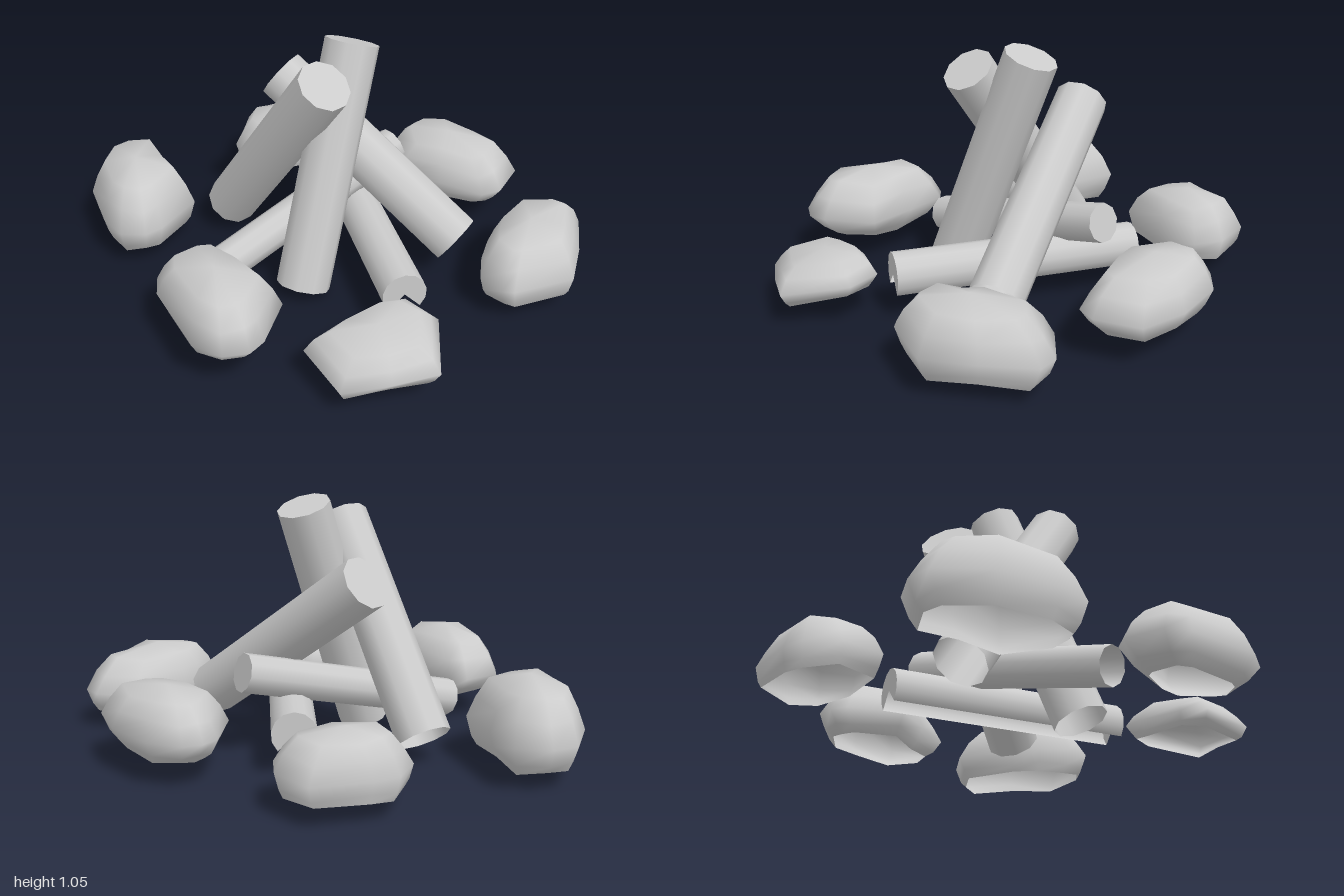
import * as THREE from 'three';
import { mergeVertices } from 'three/addons/utils/BufferGeometryUtils.js';

const material = new THREE.MeshStandardMaterial({ color: 0xcccccc, side: THREE.DoubleSide });
const SIDES = 10;

// Log running from its lower end to its upper end
function makeLog(name, from, to, radius, isFlat = false) {
  const a = new THREE.Vector3(...from), b = new THREE.Vector3(...to);
  // The log lying on the ground is open along its underside
  const start = isFlat ? Math.PI / 4 : Math.PI / SIDES;
  const arc = isFlat ? Math.PI * 1.5 : Math.PI * 2;
  const geo = new THREE.CylinderGeometry(radius, radius, a.distanceTo(b), SIDES, 1, false, start, arc);
  geo.rotateX(Math.PI / 2);
  if (!isFlat) {
    // The lower end is left open: drop the last group, which is its cap
    geo.setIndex(Array.from(geo.index.array).slice(0, geo.groups[2].start));
    geo.clearGroups();
  }
  const mesh = new THREE.Mesh(geo, material);
  mesh.name = name;
  mesh.position.copy(a).add(b).multiplyScalar(0.5);
  mesh.lookAt(b);
  return mesh;
}

// Hollow stone lofted from its plan outline; rim is the size of its open underside
function makeStone(name, outline, bottom, top, rim, tiltX = 0, tiltZ = 0) {
  // Each level: fraction of outline, fraction of height
  const levels = [[rim, 0.05], [(1 + rim) / 2, 0.17], [1, 0.39], [0.86, 0.65], [0.66, 0.88], [0, 1]];
  const n = outline.length;
  const cx = outline.reduce((s, p) => s + p[0], 0) / n;
  const cz = outline.reduce((s, p) => s + p[1], 0) / n;
  const positions = [], index = [];
  levels.forEach(([scale, t], level) => {
    outline.forEach(([x, z], i) => {
      const dx = (x - cx) * scale, dz = (z - cz) * scale;
      const bump = scale > 0 && scale < 1 ? 0.008 * Math.sin(i * 2.4 + level) : 0;
      positions.push(cx + dx, bottom + (top - bottom) * t + bump + dx * tiltX + dz * tiltZ, cz + dz);
      if (level === levels.length - 1) return;
      const a = level * n + i, b = level * n + (i + 1) % n;
      index.push(a, a + n, b, b, a + n, b + n);
    });
  });
  let geo = new THREE.BufferGeometry();
  geo.setAttribute('position', new THREE.Float32BufferAttribute(positions, 3));
  geo.setIndex(index);
  geo = mergeVertices(geo, 1e-4);
  geo.computeVertexNormals();
  const mesh = new THREE.Mesh(geo, material);
  mesh.name = name;
  return mesh;
}

export function createModel() {
  const model = new THREE.Group();
  model.name = 'campfire';

  // Leaning logs and two low logs crossing beneath them
  const logs = new THREE.Group();
  logs.name = 'logs';
  logs.add(
    makeLog('frontLeaningLog', [-0.475, 0.115, 0.17], [0.148, 0.93, 0.14], 0.112),
    makeLog('uprightLog', [0.145, 0.035, 0.255], [0.027, 1.005, -0.105], 0.113),
    makeLog('backLeaningLog', [0.44, 0.16, -0.34], [-0.348, 0.742, -0.03], 0.113),
    makeLog('tiltedLowLog', [-0.065, 0.125, 0.56], [-0.065, 0.365, -0.43], 0.081),
    makeLog('flatLowLog', [0.595, 0.17, 0.1], [-0.34, 0.17, -0.34], 0.092, true),
  );

  // Ring of stones, outlines as x, z
  const stones = new THREE.Group();
  stones.name = 'stoneRing';
  stones.add(
    makeStone('frontRightStone', [[-1, 0.51], [-0.99, 0.4], [-0.905, 0.285], [-0.7, 0.325], [-0.485, 0.365],
      [-0.4, 0.59], [-0.4, 0.67], [-0.47, 0.75], [-0.61, 0.75], [-0.85, 0.67]], 0.05, 0.385, 0.82),
    makeStone('frontStone', [[-0.105, 0.64], [-0.05, 0.58], [0.15, 0.55], [0.365, 0.53], [0.5, 0.72], [0.52, 0.8],
      [0.47, 0.89], [0.34, 0.94], [0, 0.87], [-0.09, 0.81]], 0.08, 0.385, 0.6),
    makeStone('leftStone', [[0.65, 0.13], [0.795, 0.11], [1, 0.295], [0.92, 0.46], [0.82, 0.625],
      [0.565, 0.59], [0.555, 0.465], [0.6, 0.24]], 0.08, 0.25, 0.82, -0.06, -0.12),
    makeStone('backLeftStone', [[0.47, -0.69], [0.6, -0.83], [0.69, -0.845], [0.83, -0.68], [0.95, -0.5],
      [0.86, -0.25], [0.82, -0.215], [0.7, -0.22], [0.61, -0.32], [0.54, -0.43]], 0.05, 0.335, 0.85),
    makeStone('backStone', [[-0.32, -0.71], [-0.31, -0.79], [-0.2, -0.89], [0.04, -0.945], [0.25, -0.92],
      [0.325, -0.74], [0.3, -0.65], [0.1, -0.575], [-0.09, -0.505], [-0.29, -0.64]], 0.08, 0.35, 0.75),
    makeStone('backRightStone', [[-0.905, -0.32], [-0.85, -0.545], [-0.66, -0.585], [-0.54, -0.53],
      [-0.545, -0.32], [-0.63, -0.075], [-0.81, -0.095], [-0.905, -0.21]], 0.06, 0.32, 0.88),
  );

  model.add(logs, stones);
  return model;
}
